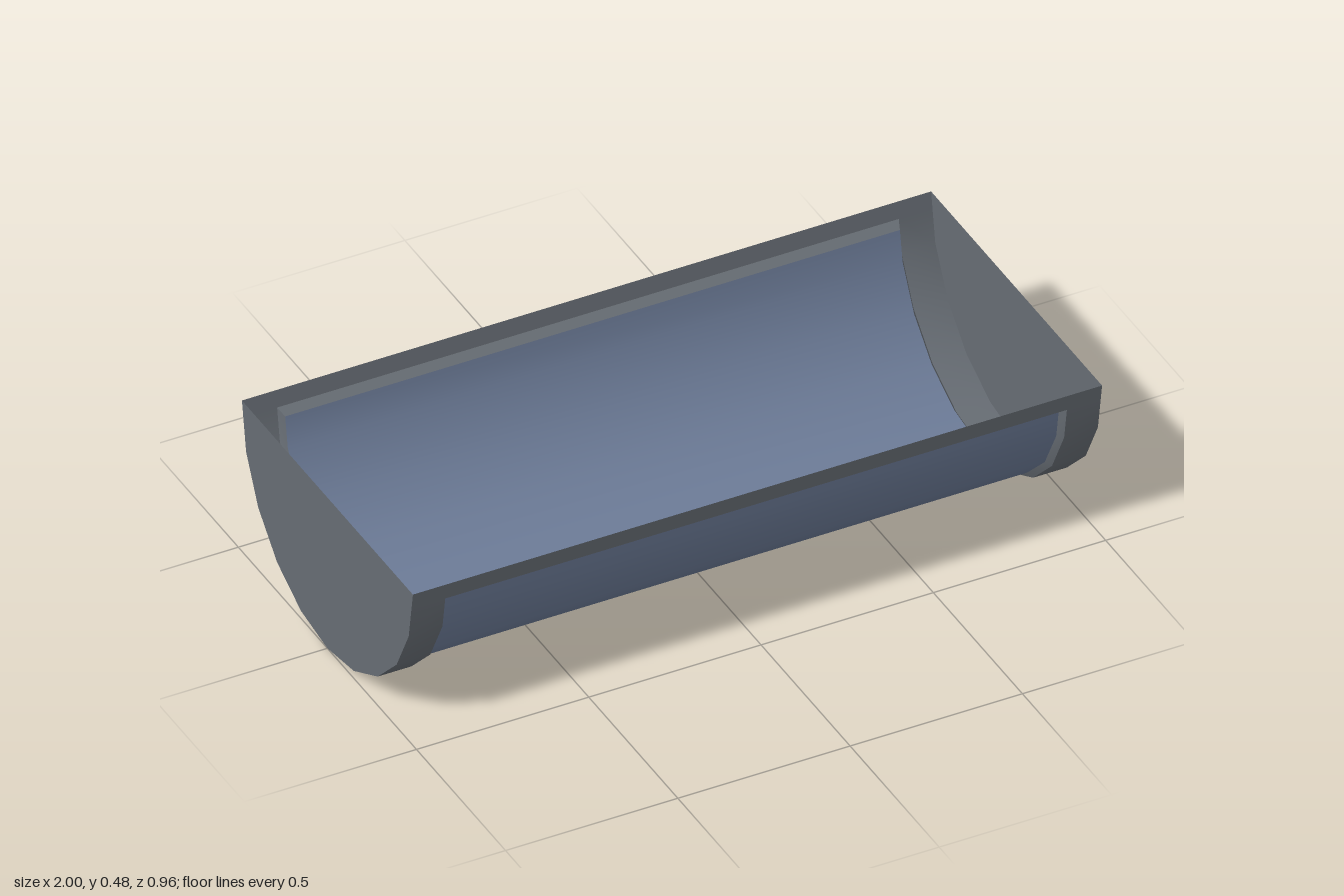
import * as THREE from 'three';

const R = 0.48, SEGMENTS = 10, HALF = 1;
const OPEN_X = 0.902, OPEN_Y = 0.43;   // edges of the large opening
const PANE_X = 0.892;

function material(name, color) {
  const m = new THREE.MeshStandardMaterial({ color, side: THREE.DoubleSide });
  m.name = name;
  return m;
}

// Half-round section as [y, z] pairs, from the front rim down and up to the back rim
function section() {
  const pts = [];
  for (let i = 0; i <= SEGMENTS; i++) {
    const a = (Math.PI * i) / SEGMENTS;
    pts.push([R - R * Math.sin(a), R * Math.cos(a)]);
  }
  // Extra points where the opening meets the rim faces
  const t = (R - OPEN_Y) / (R - pts[1][0]);
  const z = R + (pts[1][1] - R) * t;
  pts.splice(1, 0, [OPEN_Y, z]);
  pts.splice(pts.length - 1, 0, [OPEN_Y, -z]);
  return pts;
}

// Surface between two matching rows of 3D points
function strip(rowA, rowB) {
  const n = rowA.length, index = [];
  for (let i = 0; i < n - 1; i++) {
    index.push(i, i + 1, n + i, i + 1, n + i + 1, n + i);
  }
  const g = new THREE.BufferGeometry();
  g.setAttribute('position', new THREE.Float32BufferAttribute([...rowA, ...rowB].flat(), 3));
  g.setIndex(index);
  g.computeVertexNormals();
  return g;
}

export function createModel() {
  const frameMat = material('slate grey frame', 0x666c73);
  const paneMat = material('blue grey pane', 0x6c7b97);
  const model = new THREE.Group();
  model.name = 'halfRoundTrough';
  const add = (name, geometry, mat) => {
    const mesh = new THREE.Mesh(geometry, mat);
    mesh.name = name;
    model.add(mesh);
    return mesh;
  };

  const outer = section();
  const opening = outer.slice(1, -1);
  const inset = opening.map(([y, z]) => [0.016 + y * 0.928, z * 0.945]);
  const row = (pts, x) => pts.map(([y, z]) => [x, y, z]);

  // Curved end bands and flat end walls
  add('leftEndBand', strip(row(outer, OPEN_X), row(outer, HALF)), frameMat);
  add('rightEndBand', strip(row(outer, -HALF), row(outer, -OPEN_X)), frameMat);
  for (const s of [1, -1]) {
    const wall = new THREE.CircleGeometry(R, SEGMENTS, Math.PI, Math.PI);
    wall.rotateY((s * Math.PI) / 2);
    add(s > 0 ? 'leftEndWall' : 'rightEndWall', wall, frameMat).position.set(s * HALF, R, 0);
  }

  // Long rails along both rims
  for (const [name, pts] of [['frontRail', outer.slice(0, 2)], ['backRail', outer.slice(-2)]]) {
    add(name, strip(row(pts, -OPEN_X), row(pts, OPEN_X)), frameMat);
  }

  // Bevelled lip stepping inward around the opening
  add('leftLip', strip(row(inset, PANE_X), row(opening, OPEN_X)), frameMat);
  add('rightLip', strip(row(opening, -OPEN_X), row(inset, -PANE_X)), frameMat);
  const last = opening.length - 1;
  for (const [name, a, b] of [
    ['frontLip', opening[0], inset[0]],
    ['backLip', inset[last], opening[last]],
  ]) {
    add(name, strip(
      [[-OPEN_X, ...a], [-PANE_X, ...b]].map((p, i) => (name === 'frontLip' ? p : [i ? -OPEN_X : -PANE_X, ...(i ? b : a)])),
      [[OPEN_X, ...a], [PANE_X, ...b]].map((p, i) => (name === 'frontLip' ? p : [i ? OPEN_X : PANE_X, ...(i ? b : a)])),
    ), frameMat);
  }

  // Smooth curved pane set into the frame
  add('curvedPane', strip(row(inset, -PANE_X), row(inset, PANE_X)), paneMat);
  return model;
}
